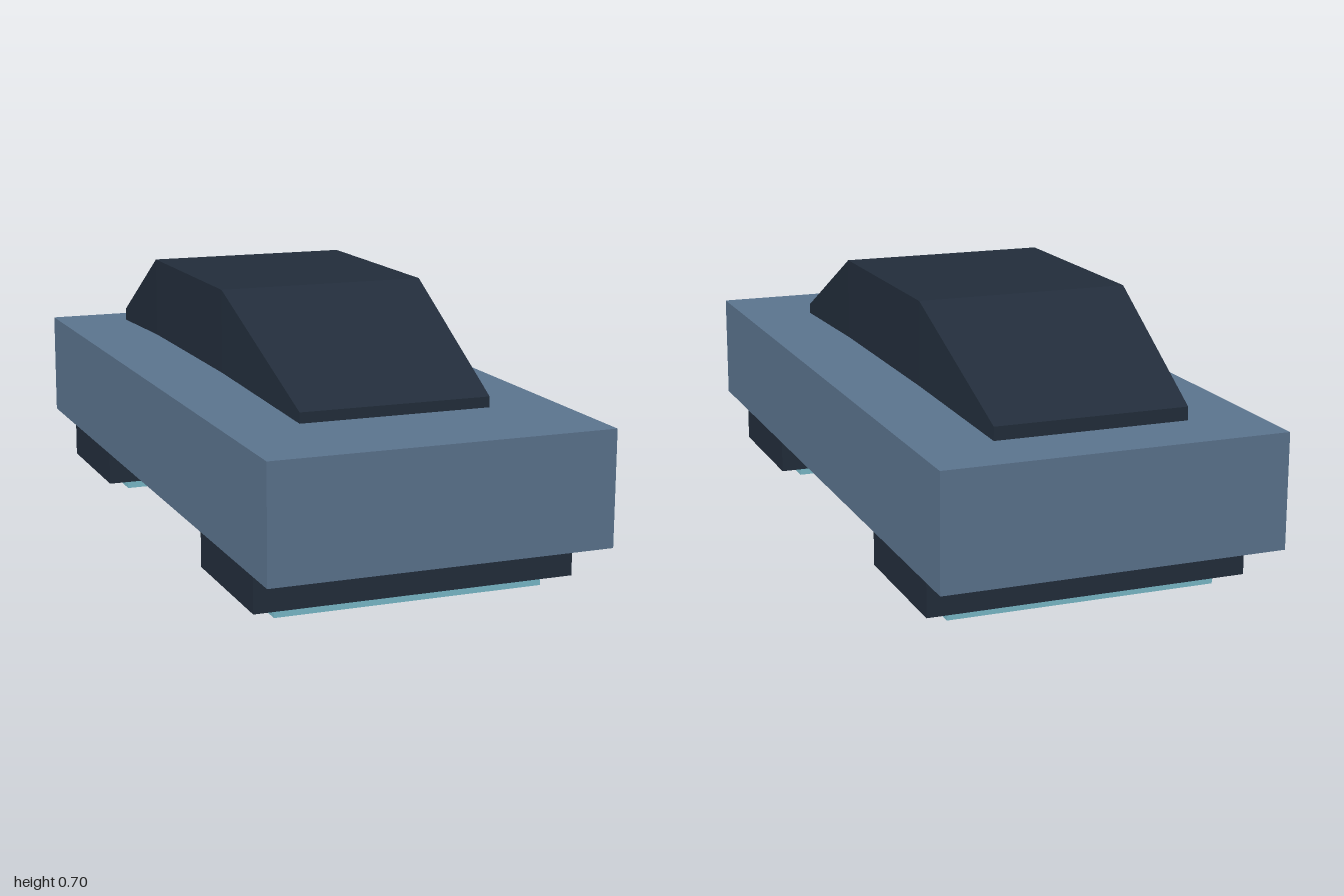
import * as THREE from 'three';

export function createModel() {
  const model = new THREE.Group();
  const makeMaterial = (name, color) => {
    const m = new THREE.MeshStandardMaterial({ color });
    m.name = name;
    return m;
  };
  const blue = makeMaterial('steelBlue', 0x5b748e);
  const dark = makeMaterial('darkNavy', 0x222d3b);
  const cyan = makeMaterial('paleCyan', 0x7abaca);

  const add = (name, geometry, material) => {
    const mesh = new THREE.Mesh(geometry, material);
    mesh.name = name;
    model.add(mesh);
    return mesh;
  };
  // box given by its width, depth, bottom, top and centre along z
  const addBox = (name, w, d, y0, y1, z, material) =>
    add(name, new THREE.BoxGeometry(w, y1 - y0, d), material)
      .position.set(0, (y0 + y1) / 2, z);

  addBox('body', 0.9, 2, 0.145, 0.445, 0, blue);

  // hover pods with glowing plates beneath, front and rear
  for (const [end, z] of [['front', 0.64], ['rear', -0.64]]) {
    addBox(end + 'HoverPod', 0.854, 0.4, 0.03, 0.13, z, dark);
    addBox(end + 'GlowPlate', 0.72, 0.32, 0, 0.025, z, cyan);
  }

  // canopy lofted through rectangular sections: z, half width, bottom, top
  const sections = [
    [-0.84, 0.256, 0.452, 0.487],
    [-0.4, 0.285, 0.482, 0.705],
    [0.2, 0.285, 0.482, 0.705],
    [0.7, 0.256, 0.45, 0.478],
  ];
  const rings = sections.map(([z, w, y0, y1]) =>
    [[-w, y0, z], [w, y0, z], [w, y1, z], [-w, y1, z]]);
  const positions = [];
  const quad = (a, b, c, d) => positions.push(...a, ...b, ...c, ...a, ...c, ...d);
  for (let i = 0; i < rings.length - 1; i++) {
    for (let j = 0; j < 4; j++) {
      const k = (j + 1) % 4;
      quad(rings[i][j], rings[i][k], rings[i + 1][k], rings[i + 1][j]);
    }
  }
  quad(...rings[rings.length - 1]);
  quad(...[...rings[0]].reverse());
  const canopy = new THREE.BufferGeometry();
  canopy.setAttribute('position', new THREE.Float32BufferAttribute(positions, 3));
  canopy.computeVertexNormals();
  add('canopy', canopy, dark);

  return model;
}
